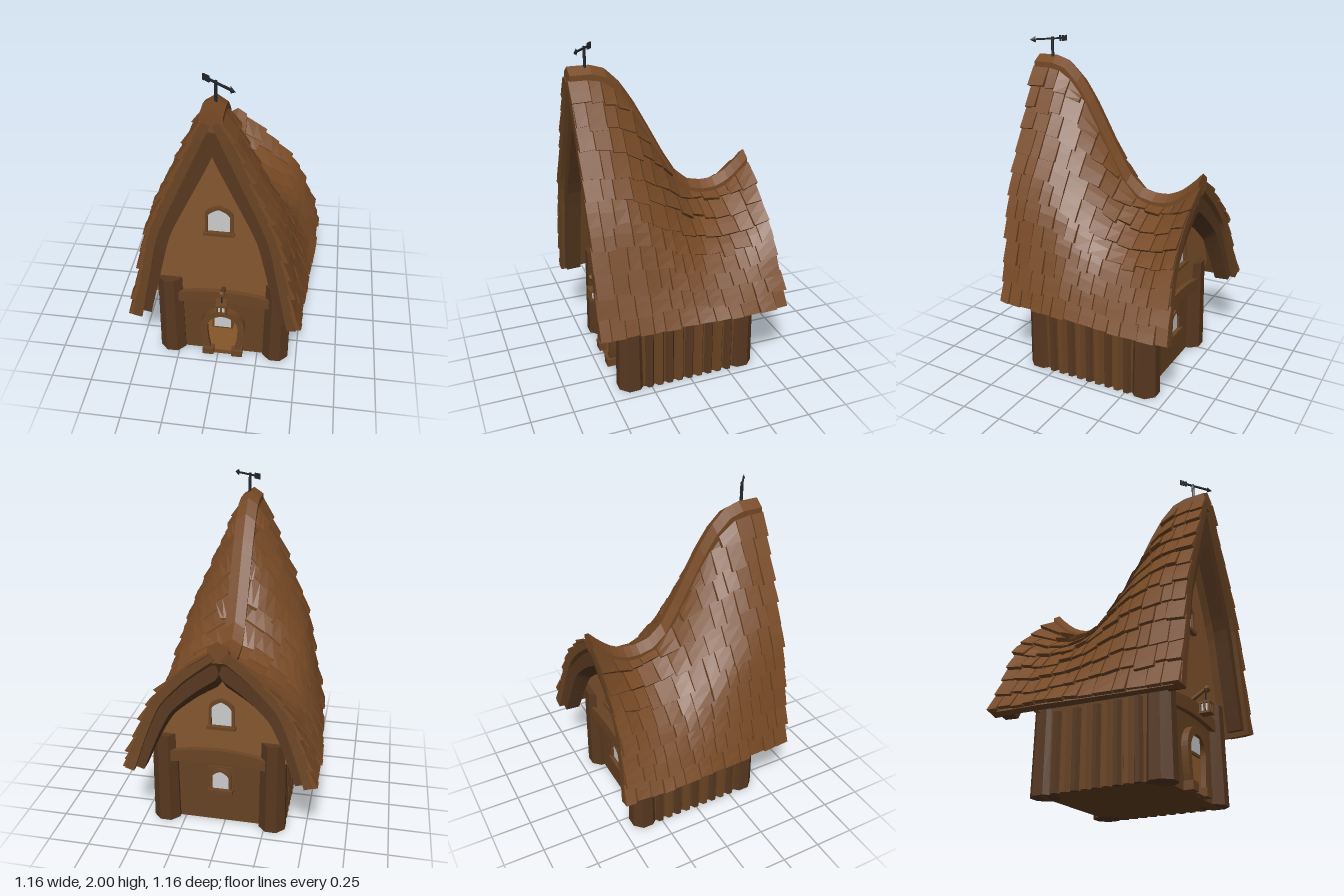
import * as THREE from 'three';
import { mergeGeometries } from 'three/addons/utils/BufferGeometryUtils.js';

const mat = (color) => new THREE.MeshStandardMaterial({ color, flatShading: true });
const shingleMat = mat(0x774a26), wood = mat(0x6b4524), darkWood = mat(0x573820);
const wall = mat(0x85572f), lowerWall = mat(0x664223), doorMat = mat(0x94602f);
const iron = mat(0x24262a), grey = mat(0xcccccc);
const V2 = (x, y) => new THREE.Vector2(x, y);
const { lerp, clamp, smoothstep } = THREE.MathUtils;

let seed = 11;
const rand = () => (seed = (seed * 16807) % 2147483647) / 2147483647;

// Ridge height along z: tall front, swayed back
const ridgeKeys = [[-0.52, 1.28], [-0.46, 1.215], [-0.38, 1.15], [-0.3, 1.12], [-0.22, 1.12], [-0.14, 1.14], [-0.06, 1.21],
  [0.02, 1.34], [0.1, 1.49], [0.2, 1.67], [0.28, 1.785], [0.36, 1.86], [0.44, 1.885], [0.57, 1.885]];
function ridgeY(z) {
  if (z <= -0.52) return 1.28;
  const i = ridgeKeys.findIndex((k) => k[0] >= z);
  if (i < 0) return 1.885;
  const [a, b] = [ridgeKeys[i - 1], ridgeKeys[i]];
  return lerp(a[1], b[1], (z - a[0]) / (b[0] - a[0]));
}

// Slope cross-sections, ridge to eave: kneed at the front, rounder at the back
const section = (points) => new THREE.CatmullRomCurve3(
  points.map(([x, y]) => new THREE.Vector3(x, y * 1.37, 0)), false, 'catmullrom', 0.35);
const frontSlope = section([[0.05, 1], [0.2, 0.755], [0.36, 0.485], [0.425, 0.27], [0.5, 0]]);
const backSlope = section([[0.05, 1], [0.21, 0.81], [0.35, 0.58], [0.43, 0.31], [0.5, 0]]);
function onSlope(t, v) {
  const z = lerp(0.57, -0.52 - 0.05 * t * t, v), u = clamp(t, 0, 1);
  const p = frontSlope.getPointAt(u).lerp(backSlope.getPointAt(u), smoothstep(v, 0.2, 0.8));
  const eave = lerp(0.485, 0.547, Math.min(1, Math.max(0, v) * 1.4));
  const eaveY = 0.43 + 0.02 * v * v;
  return new THREE.Vector3(0.05 + (p.x - 0.05) * (eave - 0.05) / 0.45,
    eaveY + (p.y / 1.37) * (ridgeY(z) - 0.07 - eaveY), z);
}
// Point at distance d out from the slope
function roofPoint(t, v, d) {
  const p = onSlope(t, v);
  const a = onSlope(Math.max(0, t - 0.04), v), b = onSlope(Math.min(1, t + 0.04), v);
  const n = V2(a.y - b.y, b.x - a.x).normalize();
  return p.set(Math.max(0, p.x + n.x * d), p.y + n.y * d, p.z);
}

// Box bent onto the roof; upper and lower give its edges along v, dTop and dLow are [inner, outer] offsets
function roofBox(side, upper, lower, v0, v1, dTop, dLow, nv, nt) {
  const g = new THREE.BoxGeometry(1, 1, 1, nv, nt, 1), p = g.attributes.position;
  for (let i = 0; i < p.count; i++) {
    const a = 0.5 - p.getY(i), o = p.getZ(i) > 0 ? 1 : 0, v = lerp(v0, v1, 0.5 + side * p.getX(i));
    const q = roofPoint(lerp(upper(v), lower(v), a), v, lerp(dTop[o], dLow[o], a));
    p.setXYZ(i, side * q.x, q.y, q.z);
  }
  g.computeVertexNormals();
  return g;
}
const ridge = () => 0, eaveEdge = () => 1;

// Shingle course line k, counted up from the eave; fewer courses fit where the ridge is low
function course(k, v) {
  const count = lerp(7.4, 11, (ridgeY(lerp(0.57, -0.52, v)) - 1.12) / 0.765);
  return clamp(1 - k / count, 0, 1.01);
}

function add(parent, name, geo, material, x = 0, y = 0, z = 0) {
  const m = new THREE.Mesh(geo, material);
  m.name = name;
  m.position.set(x, y, z);
  parent.add(m);
  return m;
}
const box = (w, h, d) => new THREE.BoxGeometry(w, h, d);
const extrude = (shape, depth, steps = 1) =>
  new THREE.ExtrudeGeometry(shape, { depth, steps, bevelEnabled: false, curveSegments: 8 });

// Pointed arch opening standing on y = 0
function archShape(w, h, Type = THREE.Shape) {
  const s = new Type();
  s.moveTo(-w, 0);
  s.lineTo(w, 0);
  s.lineTo(w, h * 0.68);
  s.quadraticCurveTo(w * 0.85, h * 0.88, 0, h);
  s.quadraticCurveTo(-w * 0.85, h * 0.88, -w, h * 0.68);
  s.closePath();
  return s;
}
function archWindow(name, w, h, x, y, z, turn) {
  const g = new THREE.Group();
  g.name = name;
  const frame = archShape(w + 0.015, h + 0.02);
  frame.holes.push(archShape(w, h, THREE.Path));
  add(g, 'frame', extrude(frame, 0.025), wood);
  add(g, 'pane', extrude(archShape(w, h), 0.01), grey);
  add(g, 'sill', box(2 * w + 0.05, 0.02, 0.035), wood, 0, -0.008, 0.018);
  g.position.set(x, y, z);
  g.rotation.y = turn;
  return g;
}

// Horseshoe outline for the door surround
function horseshoe(r, foot, Type) {
  const s = new Type();
  s.moveTo(-foot, 0);
  s.lineTo(foot, 0);
  s.quadraticCurveTo(r, 0.12, r, 0.235);
  s.absarc(0, 0.235, r, 0, Math.PI, false);
  s.quadraticCurveTo(-r, 0.12, -foot, 0);
  return s;
}

export function createModel() {
  const house = new THREE.Group();
  house.name = 'cottage';
  const roof = new THREE.Group();
  roof.name = 'roof';
  house.add(roof);

  for (const side of [1, -1]) {
    const label = side > 0 ? 'left' : 'right';
    add(roof, label + 'RoofSlab', roofBox(side, ridge, eaveEdge, 0, 1, [-0.05, 0], [-0.04, 0], 28, 14), wood);

    // Overlapping courses of uneven shingles
    const list = [];
    for (let k = 0; k < 11; k++) {
      let v = -0.005;
      while (v < 0.99) {
        let end = v + 0.055 + rand() * 0.05;
        if (end > 0.955) end = 1.0 + rand() * 0.015;
        const start = v < 0 ? -0.012 * rand() : v + 0.003, mid = (start + end) / 2;
        const drop = rand() * 0.26 - 0.1, tilt = (rand() - 0.5) * 2.5, lift = 0.022 + rand() * 0.016;
        if (course(k, mid) > 0.03) {
          list.push(roofBox(side, (w) => course(k + 1.15, w), (w) => course(k - drop + tilt * (w - mid), w),
            start, end - 0.003, [-0.005, 0.008], [0.006, lift], 1, 2));
        }
        v = end;
      }
    }
    add(roof, label + 'Shingles', mergeGeometries(list), shingleMat);

    // Gable boards: thin outer rim and deeper inner rafter
    for (const [end, a, b, c, d] of [['front', -0.004, 0.035, 0.02, 0.1], ['back', 0.965, 1.004, 0.9, 0.98]]) {
      add(roof, end + 'RimBoard', roofBox(side, ridge, eaveEdge, a, b, [-0.05, 0.006], [-0.05, 0.006], 1, 16), wood);
      add(roof, end + 'Rafter', roofBox(side, ridge, () => 0.98, c, d, [-0.14, -0.045], [-0.1, -0.045], 1, 16), darkWood);
    }
  }

  // Ridge cap following the sway
  const cap = extrude(new THREE.Shape([V2(-0.06, -0.13), V2(0.06, -0.13), V2(0.06, -0.04), V2(0, 0), V2(-0.06, -0.04)]), 1.09, 26);
  cap.translate(0, 0, -0.52);
  const cp = cap.attributes.position;
  for (let i = 0; i < cp.count; i++) cp.setY(i, cp.getY(i) + ridgeY(cp.getZ(i)));
  cap.computeVertexNormals();
  add(roof, 'ridgeCap', cap, shingleMat);

  // Lower walls, slightly off centre below the roof
  add(house, 'lowerWalls', box(0.77, 0.5, 0.745), lowerWall, 0.035, 0.25, 0.0125);
  for (const [name, v, z] of [['frontGable', 0.17, 0.355], ['backGable', 0.85, -0.385]]) {
    const right = [];
    for (let i = 0; i <= 20; i++) {
      const p = roofPoint(i / 20, v, -0.04);
      if (p.y > 0.5) right.push(V2(p.x, p.y));
    }
    right.push(V2(0.4, 0.47));
    const left = right.map((p) => V2(-p.x, p.y)).reverse();
    add(house, name, extrude(new THREE.Shape([...right, ...left]), 0.03), wall, 0, 0, z);
  }

  // Corner posts, arched beams and rounded side planks
  const postGeo = new THREE.CylinderGeometry(0.08, 0.088, 0.6, 8);
  postGeo.rotateY(Math.PI / 8);
  for (const x of [-0.295, 0.365]) for (const z of [-0.35, 0.36]) add(house, 'cornerPost', postGeo, darkWood, x, 0.3, z);
  const beam = new THREE.Shape();
  beam.moveTo(-0.27, 0.42);
  beam.quadraticCurveTo(0.035, 0.47, 0.34, 0.42);
  beam.lineTo(0.34, 0.49);
  beam.quadraticCurveTo(0.035, 0.57, -0.27, 0.49);
  for (const z of [0.37, -0.415]) add(house, 'archedBeam', extrude(beam, 0.045), wood, 0, 0, z);
  const plankGeo = new THREE.CylinderGeometry(0.027, 0.027, 0.46, 6);
  for (const x of [-0.35, 0.42]) for (let i = 0; i < 9; i++) {
    add(house, 'sidePlank', plankGeo, i % 2 ? wood : darkWood, x, 0.23, -0.255 + i * 0.064);
  }

  // Door with surround, foot stones and small window
  const door = new THREE.Group();
  door.name = 'door';
  door.position.set(0.03, 0, 0.38);
  house.add(door);
  const surround = horseshoe(0.14, 0.095, THREE.Shape);
  surround.holes.push(horseshoe(0.095, 0.068, THREE.Path));
  add(door, 'doorSurround', extrude(surround, 0.045), wood);
  add(door, 'doorLeaf', extrude(horseshoe(0.1, 0.075, THREE.Shape), 0.015), doorMat);
  for (const x of [-0.092, 0.092]) add(door, 'footStone', box(0.07, 0.05, 0.06), wood, x, 0.025, 0.032);
  add(door, 'doorWindowFrame', box(0.13, 0.12, 0.02), wood, 0, 0.275, 0.015);
  add(door, 'doorWindowPane', box(0.105, 0.09, 0.02), grey, 0, 0.275, 0.02);

  house.add(archWindow('frontWindow', 0.065, 0.165, 0.01, 0.985, 0.38, 0));
  house.add(archWindow('backUpperWindow', 0.06, 0.16, 0.01, 0.69, -0.38, Math.PI));
  house.add(archWindow('backLowerWindow', 0.052, 0.13, 0.025, 0.235, -0.362, Math.PI));
  add(house, 'backLowerWindowBacking', box(0.15, 0.18, 0.02), wood, 0.025, 0.3, -0.358);

  // Hanging lantern on a bracket
  const lantern = new THREE.Group();
  lantern.name = 'lantern';
  lantern.position.set(0.035, 0, 0.48);
  house.add(lantern);
  const arm = add(lantern, 'bracket', new THREE.CylinderGeometry(0.012, 0.016, 0.12, 6), wood, 0, 0.565, -0.045);
  arm.rotation.x = 1.05;
  add(lantern, 'bracketKnob', new THREE.IcosahedronGeometry(0.022, 0), wood, 0, 0.59, 0.01);
  add(lantern, 'hanger', new THREE.CylinderGeometry(0.004, 0.004, 0.09, 5), iron, 0, 0.545, 0);
  add(lantern, 'lanternGlass', box(0.045, 0.05, 0.045), grey, 0, 0.475, 0);
  for (const y of [0.447, 0.505]) add(lantern, 'lanternPlate', box(0.068, 0.012, 0.068), wood, 0, y, 0);
  for (const x of [-0.026, 0, 0.026]) for (const z of [-0.026, 0, 0.026]) {
    add(lantern, 'lanternBar', box(0.011, 0.06, 0.011), wood, x, 0.476, z);
  }

  // Weather vane
  const vane = new THREE.Group();
  vane.name = 'weatherVane';
  vane.position.set(0.01, 1.98, 0.47);
  vane.rotation.y = -0.66;
  house.add(vane);
  add(vane, 'pole', new THREE.CylinderGeometry(0.009, 0.009, 0.14, 6), iron, 0, -0.06, 0);
  add(vane, 'shaft', box(0.2, 0.01, 0.01), iron, 0.015, 0, 0);
  const tip = add(vane, 'arrowHead', new THREE.ConeGeometry(0.02, 0.035, 4), iron, 0.122, 0, 0);
  tip.rotation.z = -Math.PI / 2;
  tip.scale.z = 0.35;
  for (const x of [-0.085, -0.068, -0.051]) add(vane, 'tailFin', box(0.012, 0.034, 0.008), iron, x, 0, 0);
  return house;
}
